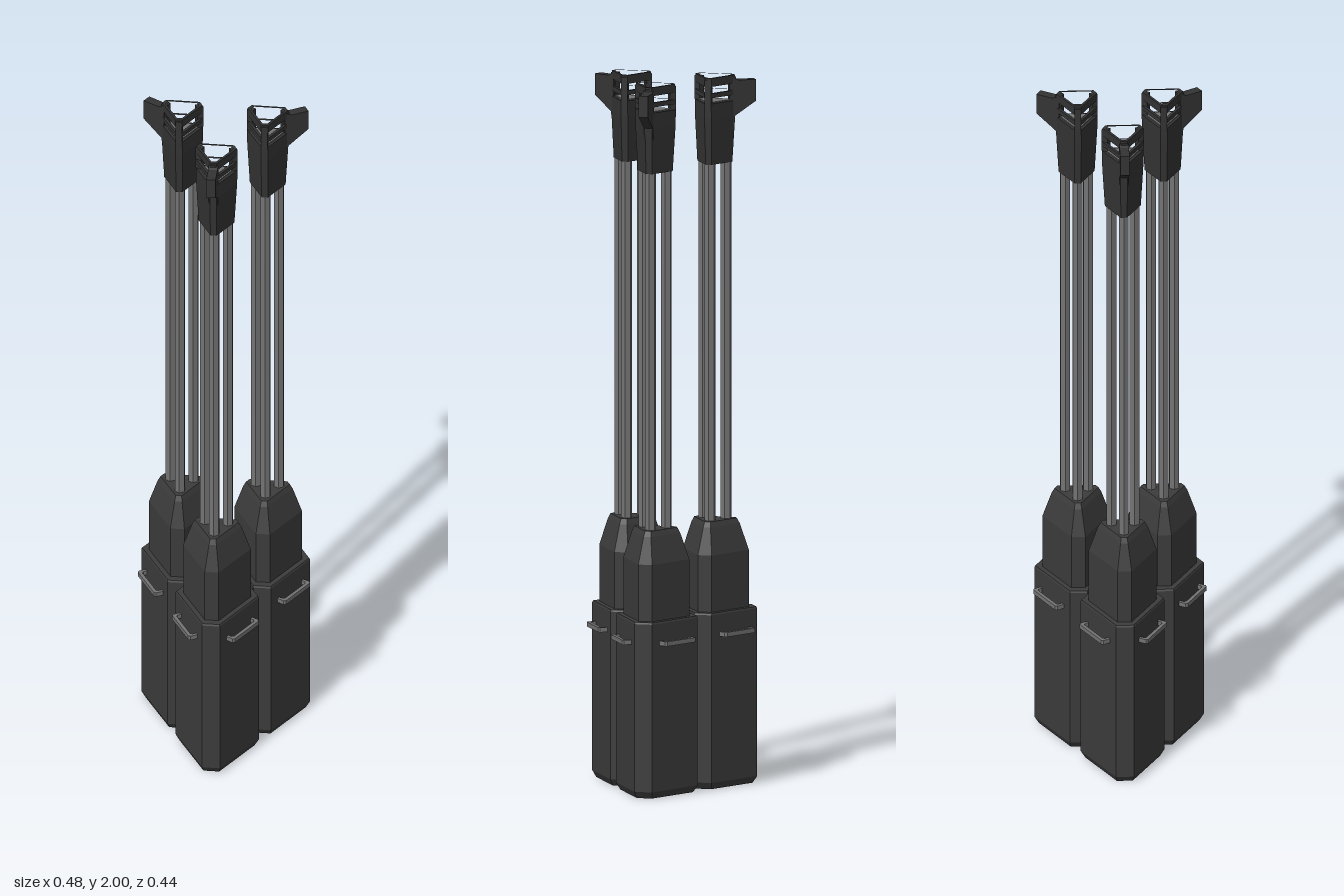
import * as THREE from 'three';

const bodyMat = new THREE.MeshStandardMaterial({ color: 0x3c3c3c });
bodyMat.name = 'charcoal body';
const headMat = new THREE.MeshStandardMaterial({ color: 0x343434 });
headMat.name = 'dark head';
const steelMat = new THREE.MeshStandardMaterial({ color: 0x747474 });
steelMat.name = 'grey steel';

const THIRD = (Math.PI * 2) / 3;
const CORNER = 0.1386; // distance of each unit from the middle of the cluster

// Triangle with cut corners: r = distance to the sides, t = distance to the cuts. One cut faces -z.
function cutTriangle(r, t) {
  const half = (2 * r - t) / Math.sqrt(3);
  const pts = [];
  for (let k = 0; k < 3; k++) {
    const s = Math.sin(k * THIRD), c = Math.cos(k * THIRD);
    for (const w of [-half, half]) pts.push([t * s + w * c, -t * c + w * s]);
  }
  return pts;
}

// Solid through stacked cut triangles, each given as [y, r, t]
function stack(sections) {
  const rings = sections.map(([y, r, t]) => cutTriangle(r, t).map(([x, z]) => [x, y, z]));
  const pos = [];
  const tri = (a, b, c) => pos.push(...a, ...b, ...c);
  for (let j = 0; j < rings.length - 1; j++) {
    const lo = rings[j], hi = rings[j + 1];
    for (let i = 0; i < 6; i++) {
      const n = (i + 1) % 6;
      tri(lo[i], hi[i], lo[n]);
      tri(lo[n], hi[i], hi[n]);
    }
  }
  const bottom = rings[0], top = rings[rings.length - 1];
  for (let i = 1; i < 5; i++) {
    tri(bottom[0], bottom[i], bottom[i + 1]);
    tri(top[0], top[i + 1], top[i]);
  }
  const g = new THREE.BufferGeometry();
  g.setAttribute('position', new THREE.Float32BufferAttribute(pos, 3));
  g.computeVertexNormals();
  return g;
}

const vec = (pts) => pts.map(([x, y]) => new THREE.Vector2(x, y));

// Flat triangular frame between two heights
function frame(y0, y1, r, t, holeR, holeT) {
  const flip = ([x, z]) => [x, -z];
  const shape = new THREE.Shape(vec(cutTriangle(r, t).map(flip)));
  shape.holes.push(new THREE.Path(vec(cutTriangle(holeR, holeT).map(flip))));
  const g = new THREE.ExtrudeGeometry(shape, { depth: y1 - y0, bevelEnabled: false });
  return g.rotateX(-Math.PI / 2).translate(0, y0, 0);
}

function add(parent, name, geometry, material) {
  const m = new THREE.Mesh(geometry, material);
  m.name = name;
  parent.add(m);
  return m;
}

// Grab handle on a face that looks along +z
function handleGeometry() {
  const shape = new THREE.Shape(vec([
    [-0.061, 0.078], [-0.061, 0.103], [-0.056, 0.108], [0.056, 0.108], [0.061, 0.103], [0.061, 0.078],
    [0.052, 0.078], [0.052, 0.093], [0.047, 0.098], [-0.047, 0.098], [-0.052, 0.093], [-0.052, 0.078],
  ]));
  const g = new THREE.ExtrudeGeometry(shape, { depth: 0.013, bevelEnabled: false });
  return g.rotateX(Math.PI / 2).translate(0, 0.446, 0);
}

function makeUnit() {
  const unit = new THREE.Group();
  unit.name = 'mastUnit';

  // Base housing and tapered collar
  add(unit, 'baseHousing', stack([
    [0.003, 0.073, 0.108], [0.022, 0.082, 0.1205], [0.495, 0.082, 0.1205], [0.5, 0.08, 0.118],
  ]), bodyMat);
  add(unit, 'collar', stack([
    [0.49, 0.066, 0.098], [0.66, 0.066, 0.098], [0.735, 0.046, 0.074], [0.75, 0.04, 0.066],
  ]), bodyMat);

  // Handles on the two outer faces
  const handle = handleGeometry();
  for (const side of [-1, 1]) add(unit, 'handle', handle, steelMat).rotation.y = side * THIRD;

  // Three rods and the corner posts of the head
  const rod = new THREE.CylinderGeometry(0.0155, 0.0155, 1.1, 6).toNonIndexed();
  rod.computeVertexNormals();
  rod.translate(0, 1.25, -0.037);
  const post = new THREE.BoxGeometry(0.018, 0.067, 0.018).translate(0, 1.961, -0.054);
  for (let k = 0; k < 3; k++) {
    add(unit, 'rod', rod, steelMat).rotation.y = k * THIRD;
    add(unit, 'headPost', post, headMat).rotation.y = k * THIRD;
  }

  // Head: sleeve, steel cap plate and two open frames leaving slots
  add(unit, 'headSleeve', stack([
    [1.755, 0.034, 0.053], [1.885, 0.039, 0.061], [1.928, 0.039, 0.062],
  ]), headMat);
  add(unit, 'capPlate', stack([[1.926, 0.031, 0.05], [1.931, 0.031, 0.05]]), steelMat);
  add(unit, 'lowerFrame', frame(1.944, 1.957, 0.039, 0.062, 0.031, 0.05), headMat);
  add(unit, 'upperFrame', frame(1.976, 2.0, 0.038, 0.06, 0.031, 0.05), headMat);

  // Horn reaching out over the outer corner
  const horn = new THREE.ExtrudeGeometry(new THREE.Shape(vec([
    [0.05, 1.83], [0.06, 1.885], [0.121, 1.925], [0.121, 1.985], [0.07, 1.985], [0.05, 1.995],
  ])), { depth: 0.026, bevelEnabled: false });
  add(unit, 'horn', horn.rotateY(Math.PI / 2).translate(-0.013, 0, 0), headMat);
  return unit;
}

export function createModel() {
  const model = new THREE.Group();
  model.name = 'tripleMast';

  const cluster = new THREE.Group();
  cluster.name = 'cluster';
  cluster.position.z = 0.04;
  model.add(cluster);

  // Three equal units around the middle
  for (let k = 0; k < 3; k++) {
    const arm = new THREE.Group();
    arm.name = 'unitMount';
    const unit = makeUnit();
    unit.position.z = -CORNER;
    arm.add(unit);
    arm.rotation.y = k * THIRD;
    cluster.add(arm);
  }

  // Core filling the gap between the housings
  add(cluster, 'core', stack([[0.02, 0.0568, 0.11], [0.494, 0.0568, 0.11]]), bodyMat).rotation.y = Math.PI;
  return model;
}
